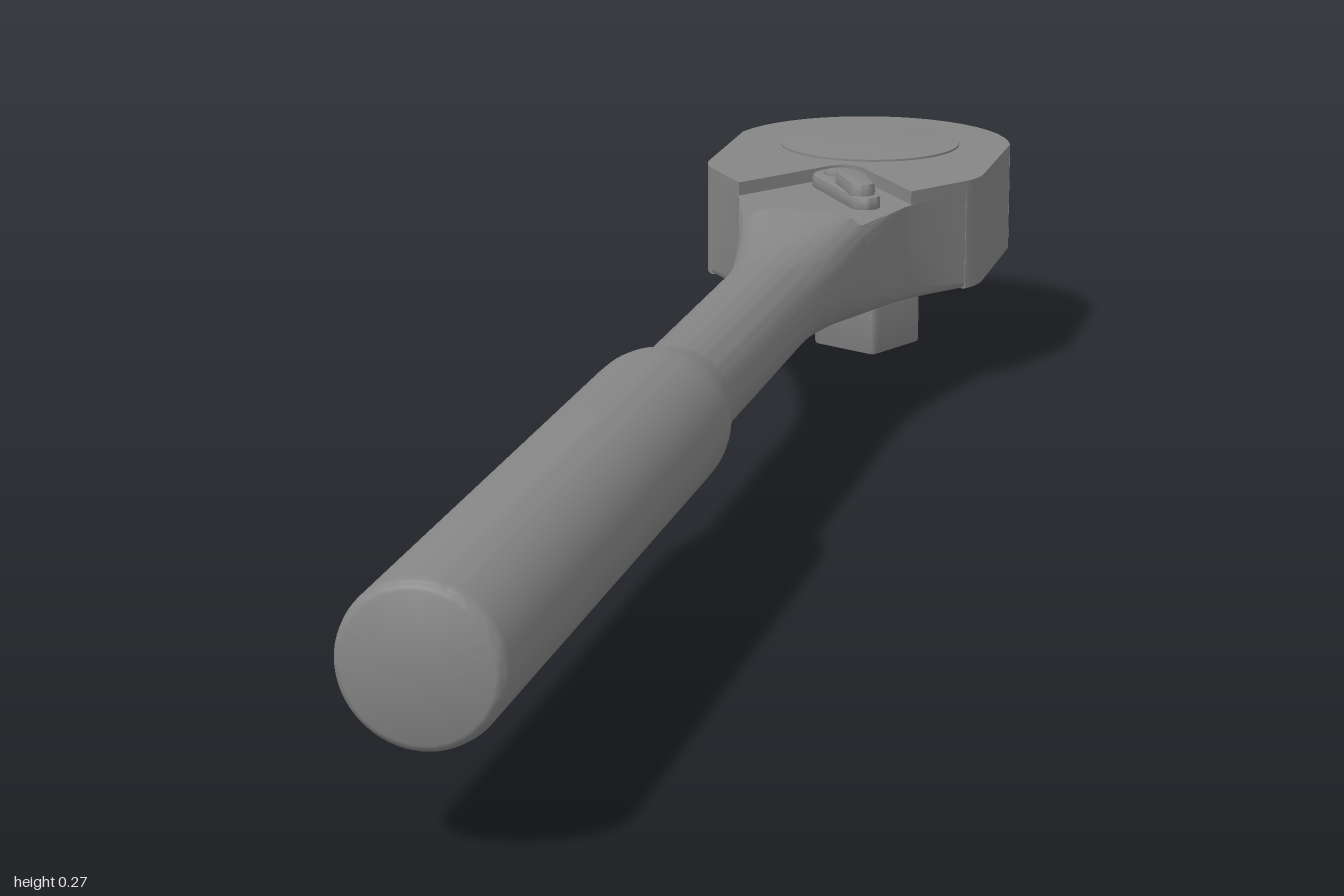
import * as THREE from 'three';
import { toCreasedNormals } from 'three/addons/utils/BufferGeometryUtils.js';

const material = new THREE.MeshStandardMaterial({ color: 0x868686 });
const AXIS_Y = 0.181; // height of the handle axis
const COVER_Z = -0.825; // centre of the cover discs
const DRIVE_Z = -0.818; // centre of the square drive

function add(group, name, geometry) {
  const mesh = new THREE.Mesh(toCreasedNormals(geometry, 0.6), material);
  mesh.name = name;
  group.add(mesh);
  return mesh;
}

// Upright slab from y0 to y1; shapes are drawn in (x, -z)
function slab(shape, y0, y1, bevel = 0) {
  const geometry = new THREE.ExtrudeGeometry(shape, {
    depth: y1 - y0 - 2 * bevel, curveSegments: 10, bevelEnabled: bevel > 0,
    bevelThickness: bevel, bevelSize: bevel, bevelOffset: -bevel, bevelSegments: 2,
  });
  return geometry.rotateX(-Math.PI / 2).translate(0, y0 + bevel, 0);
}

// Head outline; the notched one reaches further down around the lever recess
function headShape(notched) {
  const s = new THREE.Shape();
  s.moveTo(0.158, 0.635);
  s.quadraticCurveTo(0.171, 0.655, 0.171, 0.68);
  s.lineTo(0.172, 0.86);
  s.absarc(0, 0.824, 0.176, 0.206, Math.PI - 0.206, false);
  s.lineTo(-0.171, 0.68);
  s.quadraticCurveTo(-0.171, 0.655, -0.158, 0.635);
  if (notched) {
    s.lineTo(-0.105, 0.56);
    s.lineTo(-0.022, 0.678);
    s.quadraticCurveTo(0, 0.705, 0.022, 0.678);
    s.lineTo(0.105, 0.56);
  }
  s.closePath();
  return s;
}

// Rounded bar between two circles of different radius
function taperedBar(x0, z0, r0, x1, z1, r1) {
  const a = Math.atan2(z0 - z1, x1 - x0);
  const spread = Math.acos((r0 - r1) / Math.hypot(x1 - x0, z1 - z0));
  const s = new THREE.Shape();
  s.absarc(x0, -z0, r0, a + spread, a + 2 * Math.PI - spread, false);
  s.absarc(x1, -z1, r1, a - spread, a + spread, false);
  s.closePath();
  return s;
}

// Superellipse sections joined from the round shaft to the flat-sided head
function neckGeometry() {
  // z, half width, bottom, top, exponent, upper limit
  const sections = [
    [-0.25, 0.0565, 0.1245, 0.2375, 2, 1],
    [-0.30, 0.0575, 0.1245, 0.2395, 2.1, 1],
    [-0.34, 0.061, 0.1245, 0.244, 2.4, 1],
    [-0.39, 0.068, 0.124, 0.251, 3, 1],
    [-0.433, 0.0765, 0.123, 0.256, 4, 1],
    [-0.437, 0.0775, 0.123, 0.256, 4.2, 0.24],
    [-0.50, 0.092, 0.123, 0.256, 7, 0.24],
    [-0.54, 0.1, 0.123, 0.256, 12, 0.24],
    [-0.565, 0.109, 0.123, 0.256, 18, 0.24],
    [-0.636, 0.158, 0.123, 0.256, 40, 0.24],
  ];
  const sides = 64, positions = [], index = [];
  const power = (v, n) => Math.sign(v) * Math.abs(v) ** (2 / n);
  sections.forEach(([z, w, bottom, top, n, limit], i) => {
    for (let j = 0; j < sides; j++) {
      const t = (j / sides) * Math.PI * 2;
      const y = (top + bottom) / 2 + ((top - bottom) / 2) * power(Math.sin(t), n);
      positions.push(w * power(Math.cos(t), n), Math.min(y, limit), z);
      if (i === sections.length - 1) continue;
      const a = i * sides + j, b = i * sides + ((j + 1) % sides);
      index.push(a, a + sides, b, b, a + sides, b + sides);
    }
  });
  const geometry = new THREE.BufferGeometry();
  geometry.setAttribute('position', new THREE.Float32BufferAttribute(positions, 3));
  geometry.setIndex(index);
  return geometry;
}

export function createModel() {
  const model = new THREE.Group();
  model.name = 'ratchetWrench';

  // Handle: slim shaft flaring into a thick grip with a rounded rim
  const profile = [
    [0.0565, -0.26], [0.0565, 0.14], [0.059, 0.158], [0.073, 0.21], [0.0755, 0.228],
    [0.076, 0.25], [0.076, 0.985], [0.0745, 0.993], [0.071, 0.998], [0.067, 1], [0, 1],
  ].map(([r, z]) => new THREE.Vector2(r, z));
  add(model, 'handle', new THREE.LatheGeometry(profile, 64)
    .rotateX(Math.PI / 2).translate(0, AXIS_Y, 0));

  add(model, 'neck', neckGeometry());

  // Head: full body below, notched plate on top
  add(model, 'headBody', slab(headShape(false), 0.123, 0.24));
  add(model, 'headTopPlate', slab(headShape(true), 0.24, 0.256));

  // Slightly domed cover on top and retaining disc underneath
  const dome = [[0.112, 0.25], [0.112, 0.2585], [0.08, 0.2605], [0.04, 0.2615], [0, 0.262]]
    .map(([r, y]) => new THREE.Vector2(r, y));
  add(model, 'topCover', new THREE.LatheGeometry(dome, 64).translate(0, 0, COVER_Z));
  add(model, 'bottomDisc', new THREE.CylinderGeometry(0.1, 0.1, 0.015, 64)
    .translate(0, 0.1275, COVER_Z));

  // Square drive, turned slightly, with softened edges
  const h = 0.049, c = 0.01;
  const square = new THREE.Shape();
  square.moveTo(h - c, -h);
  for (let i = 0; i < 4; i++) {
    const a = (i * Math.PI) / 2, cos = Math.cos(a), sin = Math.sin(a);
    const turn = (x, y) => [x * cos - y * sin, x * sin + y * cos];
    square.lineTo(...turn(h - c, -h));
    square.quadraticCurveTo(...turn(h, -h), ...turn(h, -h + c));
  }
  square.closePath();
  const drive = add(model, 'squareDrive', slab(square, 0, 0.13, 0.004));
  drive.position.z = DRIVE_Z;
  drive.rotation.y = -0.46;

  // Direction lever: pivot base with a raised thumb tab
  const lever = new THREE.Group();
  lever.name = 'directionLever';
  model.add(lever);
  add(lever, 'leverBase', slab(taperedBar(0, -0.645, 0.033, 0.054, -0.535, 0.018), 0.235, 0.255, 0.004));
  add(lever, 'leverTab', slab(taperedBar(0.022, -0.594, 0.016, 0.05, -0.538, 0.015), 0.245, 0.27, 0.005));
  add(lever, 'leverPivot', new THREE.CylinderGeometry(0.019, 0.021, 0.02, 32).translate(0, 0.248, -0.645));

  return model;
}
